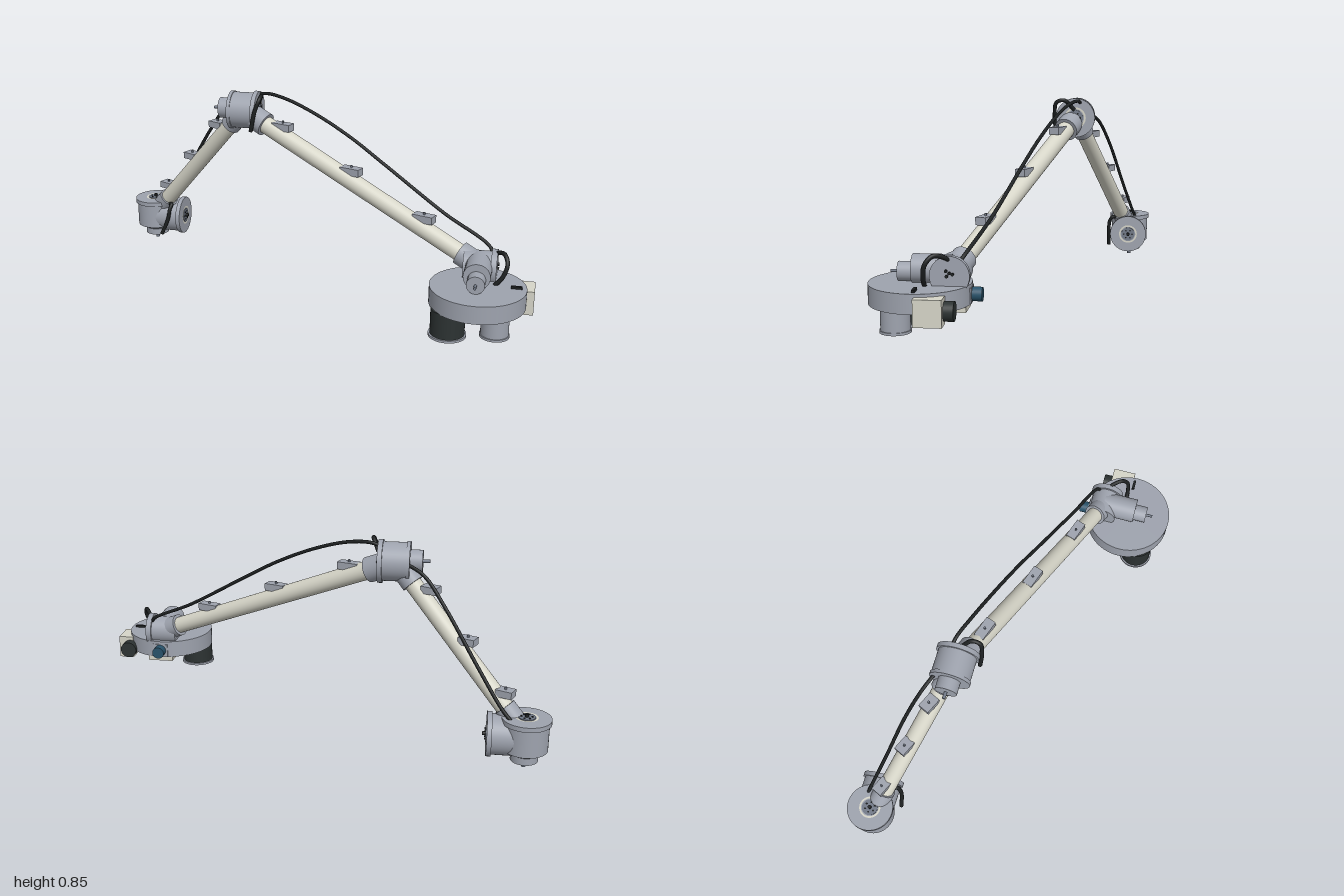
import * as THREE from 'three';

export function createModel() {
  const root = new THREE.Group();
  root.name = 'roboticArm';
  const mat = (name, color) => {
    const m = new THREE.MeshStandardMaterial({ color });
    m.name = name;
    return m;
  };
  const grey = mat('housing grey', 0x9ea3ae);
  const cream = mat('tube cream', 0xd6d5c8);
  const steel = mat('hub steel', 0x727a88);
  const dark = mat('dark drum', 0x2c3232);
  const black = mat('cable black', 0x1d2021);
  const blue = mat('lens blue', 0x28526a);
  const V = (p) => new THREE.Vector3(...p);
  const UP = new THREE.Vector3(0, 1, 0);

  const add = (name, geo, material) => {
    const mesh = new THREE.Mesh(geo, material);
    mesh.name = name;
    root.add(mesh);
    return mesh;
  };
  // Cylinder between two points
  const rod = (name, a, b, r, material, r2 = r, seg = 40) => {
    const d = V(b).sub(V(a));
    const m = add(name, new THREE.CylinderGeometry(r2, r, d.length(), seg), material);
    m.position.copy(V(a)).addScaledVector(d, 0.5);
    m.quaternion.setFromUnitVectors(UP, d.normalize());
    return m;
  };
  const box = (name, size, pos, material, yaw = 0) => {
    const m = add(name, new THREE.BoxGeometry(...size), material);
    m.position.set(...pos);
    m.rotation.y = yaw;
    return m;
  };
  const cable = (name, pts, r = 0.0075) =>
    add(name, new THREE.TubeGeometry(new THREE.CatmullRomCurve3(pts.map(V)), 60, r, 10), black);
  // Ring of bolts, hub disc and centre pin on the face of a joint
  const face = (name, centre, axis, r) => {
    const c = V(centre), d = V(axis);
    const at = (t) => c.clone().addScaledVector(d, t).toArray();
    rod(name + 'Hub', at(0), at(0.004), r * 0.8, steel);
    rod(name + 'Pin', at(0), at(0.016), 0.008, black, 0.008, 16);
    const ring = add(name + 'Ring', new THREE.RingGeometry(r * 0.9, r * 1.08, 40), cream);
    ring.position.copy(c).addScaledVector(d, 0.002);
    ring.quaternion.setFromUnitVectors(new THREE.Vector3(0, 0, 1), d);
    const u = new THREE.Vector3(d.y, d.z, d.x), v = u.clone().cross(d);
    for (let i = 0; i < 6; i++) {
      const a = (i / 6) * Math.PI * 2;
      const p = c.clone().addScaledVector(u, Math.cos(a) * r * 0.5).addScaledVector(v, Math.sin(a) * r * 0.5);
      rod(name + 'Bolt', p.toArray(), p.clone().addScaledVector(d, 0.007).toArray(), 0.004, black, 0.004, 8);
    }
  };

  // Shoulder: upright base housing with a sideways drive
  const sx = -0.9, sz = -0.425;
  rod('baseFlange', [sx, 0.195, sz], [sx, 0.215, sz], 0.1, grey);
  rod('baseHousing', [sx, 0.08, sz], [sx, 0.2, sz], 0.092, grey);
  rod('baseTaper', [sx, 0.06, sz], [sx, 0.08, sz], 0.055, grey, 0.09);
  rod('baseFoot', [sx, 0.03, sz], [sx, 0.065, sz], 0.056, grey);
  rod('basePin', [sx, 0, sz], [sx, 0.04, sz], 0.009, steel, 0.009, 16);
  face('baseTop', [sx, 0.215, sz], [0, 1, 0], 0.043);
  rod('shoulderDrive', [sx, 0.132, -0.42], [-0.76, 0.132, -0.42], 0.083, grey);
  rod('shoulderFlange', [-0.765, 0.132, -0.42], [-0.745, 0.132, -0.42], 0.091, grey);
  face('shoulder', [-0.745, 0.132, -0.42], [1, 0, 0], 0.042);

  // Upper arm tube and forearm tube with their collars
  const S = [-0.9, 0.135, -0.42], E = [-0.35, 0.763, -0.175], W = [0.77, 0.27, 0.21];
  const lerp = (a, b, t) => V(a).lerp(V(b), t).toArray();
  rod('upperArm', S, E, 0.038, cream, 0.036);
  rod('upperArmCollar', lerp(S, E, 0.87), E, 0.047, grey);
  rod('upperArmSocket', S, lerp(S, E, 0.16), 0.046, grey);
  rod('forearm', E, W, 0.04, cream, 0.037);
  rod('forearmCollar', E, lerp(E, W, 0.105), 0.054, grey);
  rod('forearmSocket', lerp(E, W, 0.925), W, 0.05, grey);

  // Level cable brackets along both tubes
  const bracket = (name, size, p, yaw) => {
    box(name, size, p, grey, yaw);
    rod(name + 'Screw', p, [p[0], p[1] + 0.026, p[2]], 0.005, steel, 0.005, 8);
  };
  for (let i = 0; i < 3; i++) {
    bracket('forearmBracket', [0.091, 0.032, 0.044],
      [-0.146 + i * 0.335, 0.717 - i * 0.146, -0.105 + i * 0.114], -0.33);
    bracket('upperArmBracket', [0.07, 0.03, 0.05],
      [-0.812 + i * 0.158, 0.3 + i * 0.185, -0.388 + i * 0.074], -0.43);
  }

  // Elbow joint
  const [, ey, ez] = E;
  rod('elbowHousing', [-0.405, ey, ez], [-0.285, ey, ez], 0.081, grey);
  rod('elbowFlange', [-0.295, ey, ez], [-0.275, ey, ez], 0.09, grey);
  rod('elbowRearRim', [-0.407, ey, ez], [-0.392, ey, ez], 0.085, grey);
  rod('elbowMotor', [-0.458, ey + 0.006, ez], [-0.4, ey + 0.006, ez], 0.046, grey);
  rod('elbowShaft', [-0.487, ey + 0.006, ez], [-0.45, ey + 0.006, ez], 0.007, steel, 0.007, 16);
  face('elbow', [-0.275, ey, ez], [1, 0, 0], 0.045);

  // Wrist joint: side disc and forward motor
  const [wx, wy, wz] = W;
  rod('wristHousing', [0.705, wy, wz], [0.83, wy, wz], 0.065, grey);
  rod('wristDisc', [0.818, wy, wz], [0.842, wy, wz], 0.075, grey);
  rod('wristMotor', [wx, wy + 0.012, wz], [wx, wy + 0.012, 0.36], 0.055, grey);
  rod('wristMotorCap', [wx, wy, 0.35], [wx, wy, 0.415], 0.037, grey);
  rod('wristShaft', [wx, wy, 0.41], [wx, wy, 0.445], 0.006, steel, 0.006, 16);
  for (const [dy, dz] of [[0.012, 0], [0.02, 0.012], [0, 0.01], [0.008, -0.012]])
    rod('wristBolt', [0.842, wy + dy, wz + dz], [0.85, wy + dy, wz + dz], 0.006, black, 0.006, 8);

  // Tool turret
  rod('turretDisc', [0.775, 0.157, 0.332], [0.775, 0.233, 0.332], 0.195, grey, 0.195, 64);
  box('turretSlot', [0.045, 0.014, 0.012], [0.928, 0.236, 0.322], black);
  rod('darkDrum', [0.668, 0.05, 0.41], [0.668, 0.16, 0.41], 0.07, dark);
  rod('darkDrumRim', [0.668, 0.042, 0.41], [0.668, 0.052, 0.41], 0.077, grey);
  rod('darkDrumFace', [0.668, 0.039, 0.41], [0.668, 0.043, 0.41], 0.068, dark);
  rod('greyDrum', [0.855, 0.065, 0.41], [0.855, 0.16, 0.41], 0.056, grey);
  rod('greyDrumRim', [0.855, 0.06, 0.41], [0.855, 0.07, 0.41], 0.06, grey);
  rod('greyDrumFace', [0.855, 0.057, 0.41], [0.855, 0.061, 0.41], 0.048, steel);

  // Cameras and boxes around the turret
  box('sideCamera', [0.067, 0.102, 0.105], [0.966, 0.17, 0.262], cream);
  rod('sideCameraLens', [0.945, 0.168, 0.215], [0.945, 0.168, 0.172], 0.037, dark);
  box('underPlate', [0.115, 0.025, 0.1], [0.78, 0.146, 0.2], cream);
  box('rearMount', [0.07, 0.06, 0.04], [0.775, 0.19, 0.155], grey);
  rod('rearLens', [0.775, 0.19, 0.145], [0.775, 0.19, 0.097], 0.027, blue);

  // Cables
  cable('forearmCable', [[-0.3, 0.825, -0.2], [-0.25, 0.842, -0.19], [-0.15, 0.833, -0.155], [0, 0.785, -0.105],
    [0.17, 0.705, -0.05], [0.33, 0.61, 0.003], [0.6, 0.445, 0.09], [0.81, 0.335, 0.165], [0.82, 0.3, 0.19]]);
  cable('elbowCable', [[-0.29, 0.69, -0.085], [-0.27, 0.78, -0.08], [-0.25, 0.835, -0.09],
    [-0.25, 0.845, -0.125], [-0.275, 0.8, -0.17]], 0.009);
  cable('upperArmCable', [[-0.39, 0.775, -0.235], [-0.47, 0.735, -0.275], [-0.56, 0.62, -0.325],
    [-0.7, 0.4, -0.392], [-0.8, 0.25, -0.44], [-0.84, 0.205, -0.455]]);
  cable('shoulderCable', [[-0.82, 0.2, -0.37], [-0.785, 0.213, -0.34], [-0.79, 0.19, -0.325],
    [-0.8, 0.14, -0.32], [-0.835, 0.06, -0.32]], 0.009);
  cable('wristCable', [[0.84, 0.23, 0.302], [0.868, 0.265, 0.302], [0.885, 0.32, 0.292],
    [0.872, 0.35, 0.265], [0.845, 0.34, 0.225], [0.82, 0.315, 0.2]], 0.009);

  return root;
}
